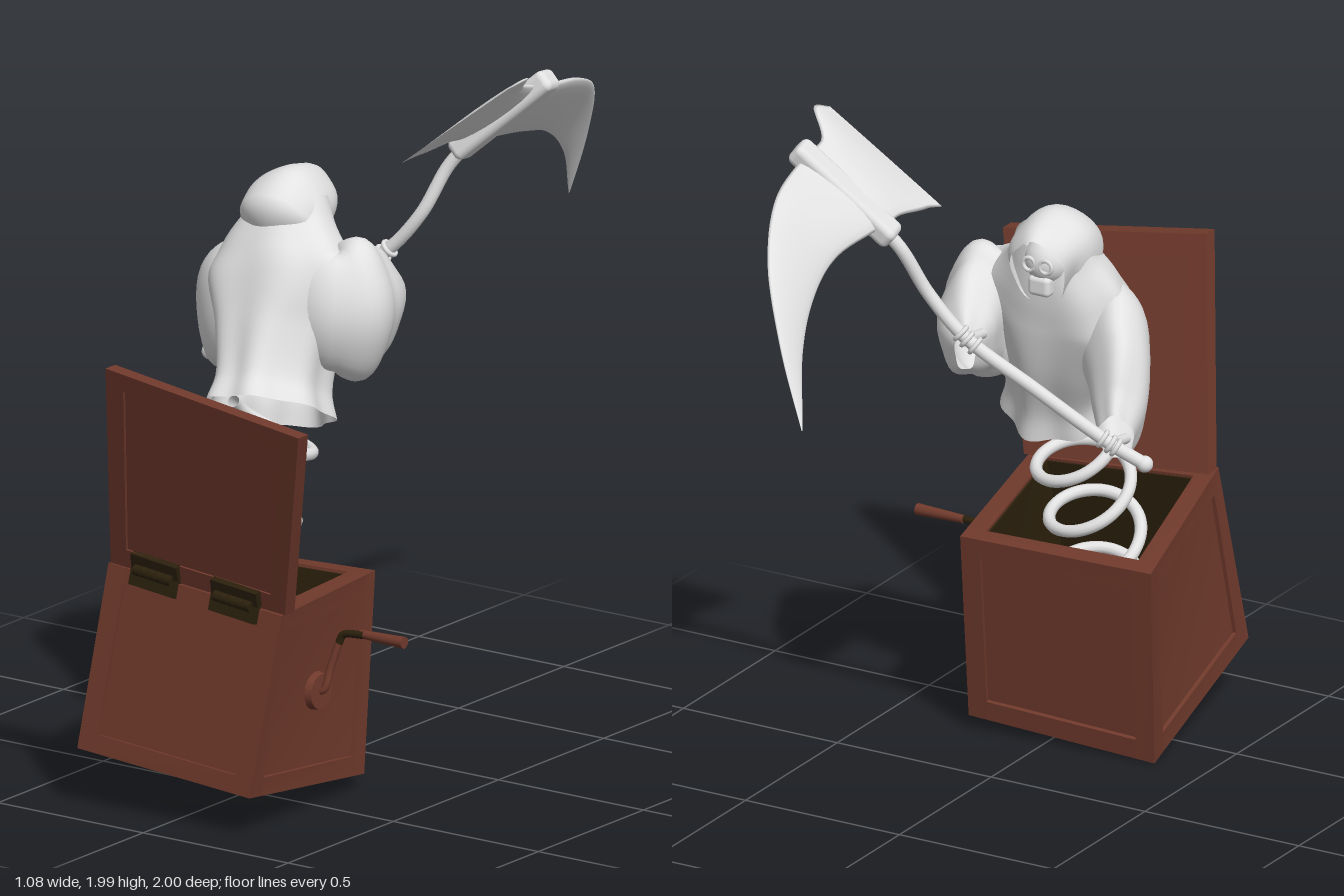
import * as THREE from 'three';
import { RoundedBoxGeometry } from 'three/addons/geometries/RoundedBoxGeometry.js';

const mat = (name, color, side = THREE.FrontSide) => {
  const m = new THREE.MeshStandardMaterial({ color, side });
  m.name = name;
  return m;
};
const wood = mat('redBrownWood', 0x703a2c);
const iron = mat('darkBronze', 0x2b200c);
const pale = mat('paleGrey', 0xe2e2e2, THREE.DoubleSide);
const V = (x, y, z) => new THREE.Vector3(x, y, z);

function add(parent, name, geometry, material) {
  const mesh = new THREE.Mesh(geometry, material);
  mesh.name = name;
  parent.add(mesh);
  return mesh;
}

function group(parent, name) {
  const g = new THREE.Group();
  g.name = name;
  parent.add(g);
  return g;
}

// Block inside a skewed hexahedron; corners are ordered by x, then y, then z
function block(c, [u0, u1], [v0, v1], [w0, w1]) {
  const geo = new THREE.BoxGeometry(1, 1, 1);
  const p = geo.attributes.position;
  for (let i = 0; i < p.count; i++) {
    const u = p.getX(i) > 0 ? u1 : u0, v = p.getY(i) > 0 ? v1 : v0, w = p.getZ(i) > 0 ? w1 : w0;
    const q = V(0, 0, 0);
    for (let k = 0; k < 8; k++) {
      q.addScaledVector(c[k], (k & 1 ? u : 1 - u) * (k & 2 ? v : 1 - v) * (k & 4 ? w : 1 - w));
    }
    p.setXYZ(i, q.x, q.y, q.z);
  }
  geo.computeVertexNormals();
  return geo;
}

// Smooth skin over oval sections [centre, half width, half height, optional height direction]
function loft(sections, ref, { n = 36, steps = 32, fold = 0, folds = 7 } = {}) {
  const centre = new THREE.CatmullRomCurve3(sections.map(s => s[0]));
  const size = new THREE.CatmullRomCurve3(sections.map(s => V(s[1], s[2], 0)));
  const dir = sections[0][3] && new THREE.CatmullRomCurve3(sections.map(s => s[3]));
  const pos = [], index = [];
  for (let i = 0; i <= steps; i++) {
    const t = i / steps, c = centre.getPoint(t), r = size.getPoint(t), T = centre.getTangent(t);
    const U = dir ? dir.getPoint(t) : ref.clone().addScaledVector(T, -ref.dot(T));
    U.normalize();
    const S = U.clone().cross(T).normalize();
    for (let j = 0; j < n; j++) {
      const a = j / n * Math.PI * 2;
      const k = 1 + fold * (1 - t) * Math.sin(folds * a + 2 * t);
      const q = c.clone().addScaledVector(S, r.x * k * Math.cos(a)).addScaledVector(U, r.y * k * Math.sin(a));
      pos.push(q.x, q.y, q.z);
      if (i < steps) {
        const A = i * n + j, B = i * n + (j + 1) % n;
        index.push(A, B, A + n, B, B + n, A + n);
      }
    }
  }
  const geo = new THREE.BufferGeometry();
  geo.setAttribute('position', new THREE.Float32BufferAttribute(pos, 3));
  geo.setIndex(index);
  geo.computeVertexNormals();
  return geo;
}

function buildBox(root) {
  const g = group(root, 'box');
  const c = [V(-0.34, 0, 0.32), V(0.24, 0.04, 0.28), V(-0.37, 0.6, 0.25), V(0.22, 0.61, 0.2),
    V(-0.3, 0.17, 0.9), V(0.28, 0.12, 0.88), V(-0.25, 0.7, 0.82), V(0.34, 0.645, 0.81)];
  const m = 0.1, lo = [0, m], hi = [1 - m, 1], mid = [m, 1 - m], all = [0, 1];
  // Frame beams along the three directions
  for (const a of [lo, hi]) for (const b of [lo, hi]) {
    add(g, 'cornerPost', block(c, a, all, b), wood);
    add(g, 'crossRail', block(c, mid, a, b), wood);
    add(g, 'sideRail', block(c, a, b, mid), wood);
  }
  // Recessed panels, with a dark lining inside
  const outer = [[0.02, m], [1 - m, 0.98]], inner = [[m, m + 0.01], [0.99 - m, 1 - m]];
  const liningHeight = [m, 0.985];
  for (let i = 0; i < 2; i++) {
    add(g, 'sidePanel', block(c, outer[i], mid, mid), wood);
    add(g, 'endPanel', block(c, mid, mid, outer[i]), wood);
    add(g, 'sideLining', block(c, inner[i], liningHeight, mid), iron);
    add(g, 'endLining', block(c, mid, liningHeight, inner[i]), iron);
  }
  add(g, 'bottomPanel', block(c, mid, outer[0], mid), wood);
  add(g, 'floorLining', block(c, mid, inner[0], mid), iron);
}

function buildLid(root) {
  const g = group(root, 'lid');
  const face = [V(-0.25, 0.698, 0.81), V(0.34, 0.643, 0.795), V(-0.13, 1.33, 1), V(0.51, 1.23, 0.965)];
  const c = [...face.map(p => p.clone().add(V(0, 0, -0.046))), ...face];
  const m = 0.09, mid = [m, 1 - m], all = [0, 1];
  for (const a of [[0, m], [1 - m, 1]]) {
    add(g, 'lidStile', block(c, a, all, all), wood);
    add(g, 'lidRail', block(c, mid, a, all), wood);
  }
  add(g, 'lidPanel', block(c, mid, mid, [0, 0.8]), wood);
  // Hinges: two leaves and a row of knuckles
  for (const [x, y] of [[-0.09, 0.692], [0.185, 0.665]]) {
    const h = group(g, 'hinge');
    h.position.set(x, y, 0.812);
    h.rotation.z = -0.1;
    for (const [name, side, tilt] of [['upperLeaf', 1, 0.28], ['lowerLeaf', -1, -0.14]]) {
      const leaf = add(h, name, new THREE.BoxGeometry(0.16, 0.048, 0.02), iron);
      leaf.position.set(0, side * 0.024, 0.006);
      leaf.rotation.x = tilt;
    }
    for (let i = -2; i <= 2; i++) {
      const k = add(h, 'knuckle', new THREE.CylinderGeometry(0.016, 0.016, 0.024, 16), iron);
      k.rotation.z = Math.PI / 2;
      k.position.set(i * 0.026, 0, 0.014);
    }
  }
}

function buildCrank(root) {
  const g = group(root, 'crank');
  const plate = add(g, 'crankPlate', new THREE.CylinderGeometry(0.05, 0.055, 0.02, 32), wood);
  plate.rotation.z = -Math.PI / 2;
  plate.position.set(0.272, 0.35, 0.54);
  const tube = (name, pts, material) => add(g, name,
    new THREE.TubeGeometry(new THREE.CatmullRomCurve3(pts), 24, 0.011, 10), material);
  tube('crankArm', [V(0.25, 0.35, 0.54), V(0.288, 0.355, 0.54), V(0.3, 0.42, 0.522), V(0.318, 0.49, 0.508)], wood);
  tube('crankBend', [V(0.318, 0.49, 0.508), V(0.33, 0.515, 0.503), V(0.4, 0.525, 0.5)], iron);
  const grip = add(g, 'crankGrip', new THREE.CylinderGeometry(0.017, 0.012, 0.15, 16), wood);
  grip.rotation.z = -Math.PI / 2;
  grip.position.set(0.46, 0.525, 0.495);
}

function buildSpring(root) {
  const axis = new THREE.CatmullRomCurve3([V(-0.02, 0.22, 0.55), V(-0.015, 0.39, 0.56), V(-0.01, 0.565, 0.555),
    V(-0.015, 0.745, 0.485), V(-0.02, 0.925, 0.4), V(-0.03, 1.1, 0.32)]);
  const pts = [];
  for (let i = 0; i <= 115; i++) {
    const turns = i / 24, a = turns * Math.PI * 2;
    pts.push(axis.getPoint(turns / 5).add(V(0.125 * Math.sin(a), 0.055 * Math.cos(a), 0.117 * Math.cos(a))));
  }
  add(root, 'spring', new THREE.TubeGeometry(new THREE.CatmullRomCurve3(pts), 260, 0.018, 10), pale);
}

function buildFigure(root) {
  const g = group(root, 'hoodedFigure');
  const Y = V(0, 1, 0), Z = V(0, 0, 1);
  add(g, 'robe', loft([[V(-0.045, 1.06, 0.335), 0.165, 0.2], [V(-0.06, 1.13, 0.3), 0.15, 0.175],
    [V(-0.09, 1.27, 0.235), 0.19, 0.165], [V(-0.11, 1.4, 0.185), 0.25, 0.15],
    [V(-0.125, 1.48, 0.15), 0.2, 0.13], [V(-0.132, 1.56, 0.12), 0.135, 0.105],
    [V(-0.135, 1.63, 0.1), 0.105, 0.08]], Z, { n: 64, fold: 0.06 }), pale);
  // Drooping sleeves that merge into the sides of the robe
  add(g, 'leftSleeve', loft([[V(0, 1.33, -0.14), 0.03, 0.055], [V(0.06, 1.325, -0.03), 0.08, 0.12],
    [V(0.1, 1.335, 0.09), 0.1, 0.17], [V(0.085, 1.34, 0.2), 0.1, 0.17], [V(-0.03, 1.35, 0.25), 0.06, 0.14]],
  Y, { fold: 0.06, folds: 5 }), pale);
  add(g, 'rightSleeve', loft([[V(-0.43, 1.125, -0.04), 0.05, 0.09], [V(-0.395, 1.17, 0.04), 0.075, 0.125],
    [V(-0.335, 1.25, 0.13), 0.09, 0.165], [V(-0.265, 1.3, 0.2), 0.1, 0.18], [V(-0.12, 1.33, 0.25), 0.07, 0.16]],
  Y, { fold: 0.06, folds: 5 }), pale);
  add(g, 'hood', loft([[V(-0.155, 1.55, -0.005), 0.08, 0.115], [V(-0.145, 1.572, 0.05), 0.105, 0.118],
    [V(-0.14, 1.572, 0.12), 0.12, 0.128], [V(-0.135, 1.545, 0.175), 0.115, 0.12], [V(-0.13, 1.5, 0.22), 0.002, 0.002]],
  Y, { fold: 0.04, folds: 5 }), pale);
  // Skull set back inside the hood
  const s = group(g, 'skull');
  s.position.set(-0.15, 1.57, 0.065);
  add(s, 'cranium', new THREE.SphereGeometry(0.07, 24, 16), pale);
  add(s, 'jaw', new RoundedBoxGeometry(0.07, 0.06, 0.07, 3, 0.015), pale).position.set(0, -0.065, -0.03);
  for (const x of [-0.027, 0.027]) {
    add(s, 'eyeSocketRim', new THREE.TorusGeometry(0.019, 0.006, 8, 20), pale).position.set(x, 0, -0.064);
  }
}

function buildScythe(root) {
  const g = group(root, 'scythe');
  const shaft = new THREE.CatmullRomCurve3([V(-0.52, 1.062, -0.035), V(-0.43, 1.12, -0.075), V(-0.22, 1.27, -0.145),
    V(-0.03, 1.4, -0.195), V(0.07, 1.52, -0.225), V(0.13, 1.66, -0.275), V(0.2, 1.75, -0.31)]);
  add(g, 'shaft', new THREE.TubeGeometry(shaft, 64, 0.019, 12), pale);
  add(g, 'shaftButt', new THREE.SphereGeometry(0.024, 16, 12), pale).position.copy(shaft.getPoint(0));
  // Blade sections: upper edge, lower edge, half thickness
  const edges = [
    [V(0.445, 1.975, -0.135), V(0.12, 1.715, -0.065), 0.001], [V(0.462, 1.992, -0.19), V(0.135, 1.727, -0.13), 0.012],
    [V(0.385, 1.935, -0.28), V(0.155, 1.742, -0.25), 0.02], [V(0.385, 1.91, -0.4), V(0.17, 1.728, -0.34), 0.024],
    [V(0.345, 1.872, -0.6), V(0.187, 1.708, -0.53), 0.022], [V(0.237, 1.768, -0.82), V(0.153, 1.655, -0.71), 0.016],
    [V(0.13, 1.6, -0.935), V(0.095, 1.545, -0.87), 0.009], [V(0.02, 1.386, -1), V(0.018, 1.384, -0.998), 0.001]];
  const sections = edges.map(([u, l, t]) => {
    const d = u.clone().sub(l);
    return [u.clone().add(l).multiplyScalar(0.5), t, d.length() / 2, d.normalize()];
  });
  add(g, 'blade', loft(sections, null, { n: 20, steps: 48 }), pale);
  // Band clamping the blade to the shaft
  const x = V(0.27, 0.245, -0.08).normalize();
  const y = V(0, 0, -1).cross(x).normalize();
  const band = add(g, 'bladeBand', new RoundedBoxGeometry(0.375, 0.065, 0.08, 3, 0.02), pale);
  band.quaternion.setFromRotationMatrix(new THREE.Matrix4().makeBasis(x, y, x.clone().cross(y)));
  band.position.set(0.275, 1.818, -0.335);
  // Bony fingers wrapped round the shaft
  for (const [name, t] of [['rightHand', 0.14], ['leftHand', 0.47]]) {
    const hand = group(g, name);
    for (let i = 0; i < 3; i++) {
      const u = t + i * 0.022;
      const f = add(hand, 'finger', new THREE.TorusGeometry(0.023, 0.007, 8, 20), pale);
      f.position.copy(shaft.getPoint(u));
      f.quaternion.setFromUnitVectors(V(0, 0, 1), shaft.getTangent(u));
    }
    const wrist = shaft.getPoint(t + 0.022);
    const arm = new THREE.LineCurve3(wrist, wrist.clone().add(V(0.01, -0.02, 0.1)));
    add(hand, 'wrist', new THREE.TubeGeometry(arm, 4, 0.015, 10), pale);
  }
}

export function createModel() {
  const root = new THREE.Group();
  root.name = 'jackInTheBox';
  for (const build of [buildBox, buildLid, buildCrank, buildSpring, buildFigure, buildScythe]) build(root);
  return root;
}
